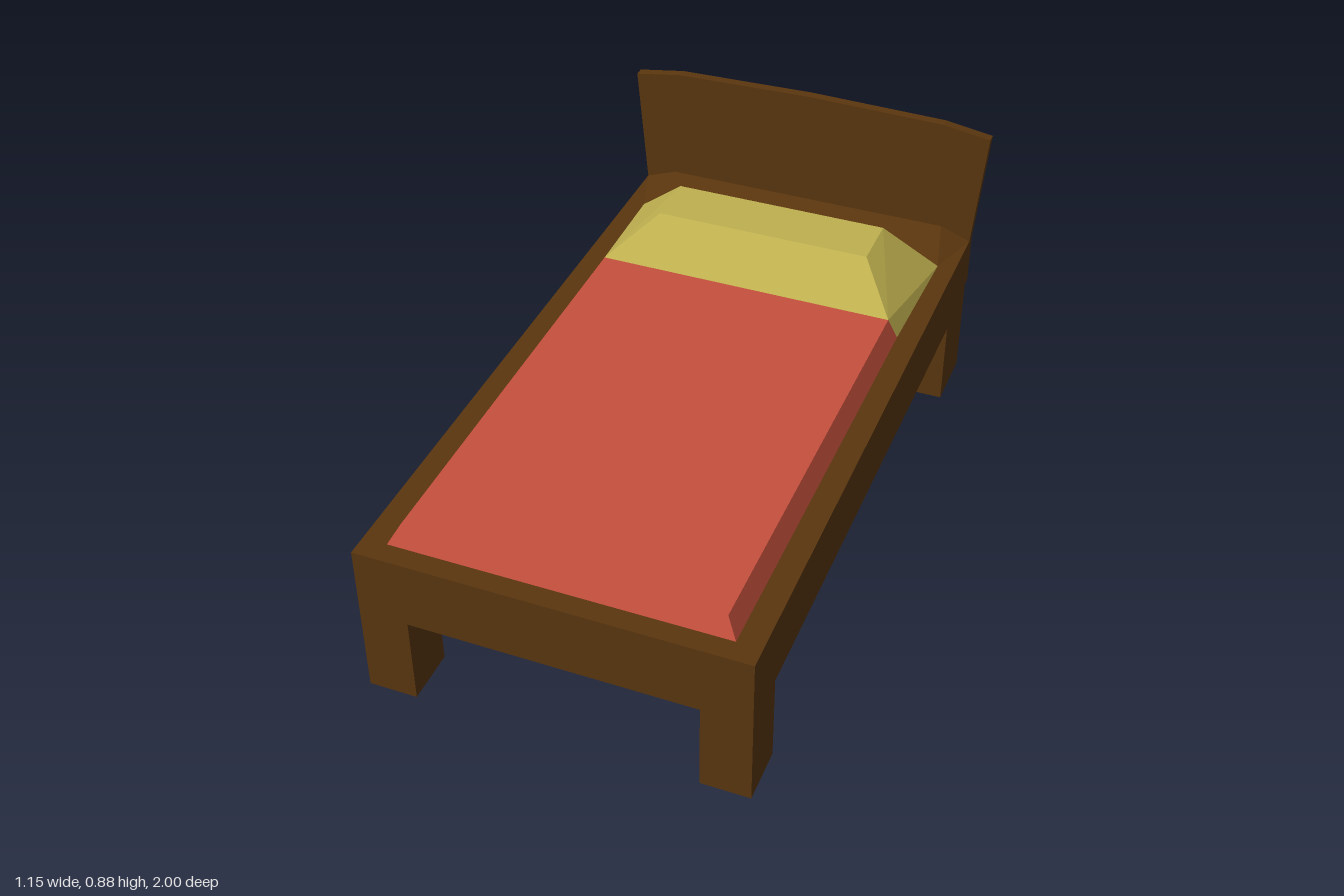
import * as THREE from 'three';
import { ConvexGeometry } from 'three/addons/geometries/ConvexGeometry.js';

export function createModel() {
  const bed = new THREE.Group();
  bed.name = 'bed';
  const material = (name, color) => {
    const m = new THREE.MeshStandardMaterial({ color });
    m.name = name;
    return m;
  };
  const wood = material('dark wood', 0x5a360e);
  const red = material('red blanket', 0xc6503d);
  const yellow = material('yellow pillow', 0xbfb04f);

  const add = (name, geometry, mat) => {
    const mesh = new THREE.Mesh(geometry, mat);
    mesh.name = name;
    bed.add(mesh);
    return mesh;
  };
  const box = (name, x0, x1, y0, y1, z0, z1) =>
    add(name, new THREE.BoxGeometry(x1 - x0, y1 - y0, z1 - z0), wood)
      .position.set((x0 + x1) / 2, (y0 + y1) / 2, (z0 + z1) / 2);
  // Flat-faced solid from corners [x, y, z], mirrored across x = 0
  const solid = (name, corners, mat) =>
    add(name, new ConvexGeometry(corners.flatMap(([x, y, z]) =>
      [new THREE.Vector3(x, y, z), new THREE.Vector3(-x, y, z)])), mat);

  // Frame and legs
  box('frame', -0.545, 0.545, 0.27, 0.475, -0.97, 1);
  for (const [side, s] of [['left', 1], ['right', -1]]) {
    const x0 = Math.min(s * 0.405, s * 0.545), x1 = x0 + 0.14;
    box(side + 'FrontLeg', x0, x1, 0, 0.27, 0.84, 1);
    box(side + 'BackLeg', x0, x1, 0, 0.27, -0.97, -0.77);
  }

  // Flared headboard with a gently arched top
  const half = [[0.545, 0.315], [0.545, 0.475], [0.577, 0.845], [0.43, 0.868]];
  const outline = [...half, [0, 0.877], ...half.map(([x, y]) => [-x, y]).reverse()];
  const board = new THREE.Shape(outline.map(([x, y]) => new THREE.Vector2(x, y)));
  add('headboard', new THREE.ExtrudeGeometry(board, { depth: 0.03, bevelEnabled: false }), wood)
    .position.z = -1;

  // Sloped wooden piece between pillow and headboard
  solid('headRamp', [
    [0.49, 0.475, -0.8], [0.545, 0.475, -0.97], [0.45, 0.51, -0.97],
    [0.49, 0.465, -0.8], [0.545, 0.465, -0.97],
  ], wood);

  // Blanket with bevelled sides and foot
  solid('blanket', [
    [0.475, 0.475, 0.94], [0.445, 0.53, 0.915],
    [0.48, 0.475, -0.395], [0.45, 0.53, -0.395],
  ], red);

  // Faceted pillow
  solid('pillow', [
    [0.48, 0.475, -0.395], [0.45, 0.53, -0.395],
    [0.33, 0.625, -0.55], [0.33, 0.625, -0.72], [0.49, 0.475, -0.8],
  ], yellow);

  return bed;
}
